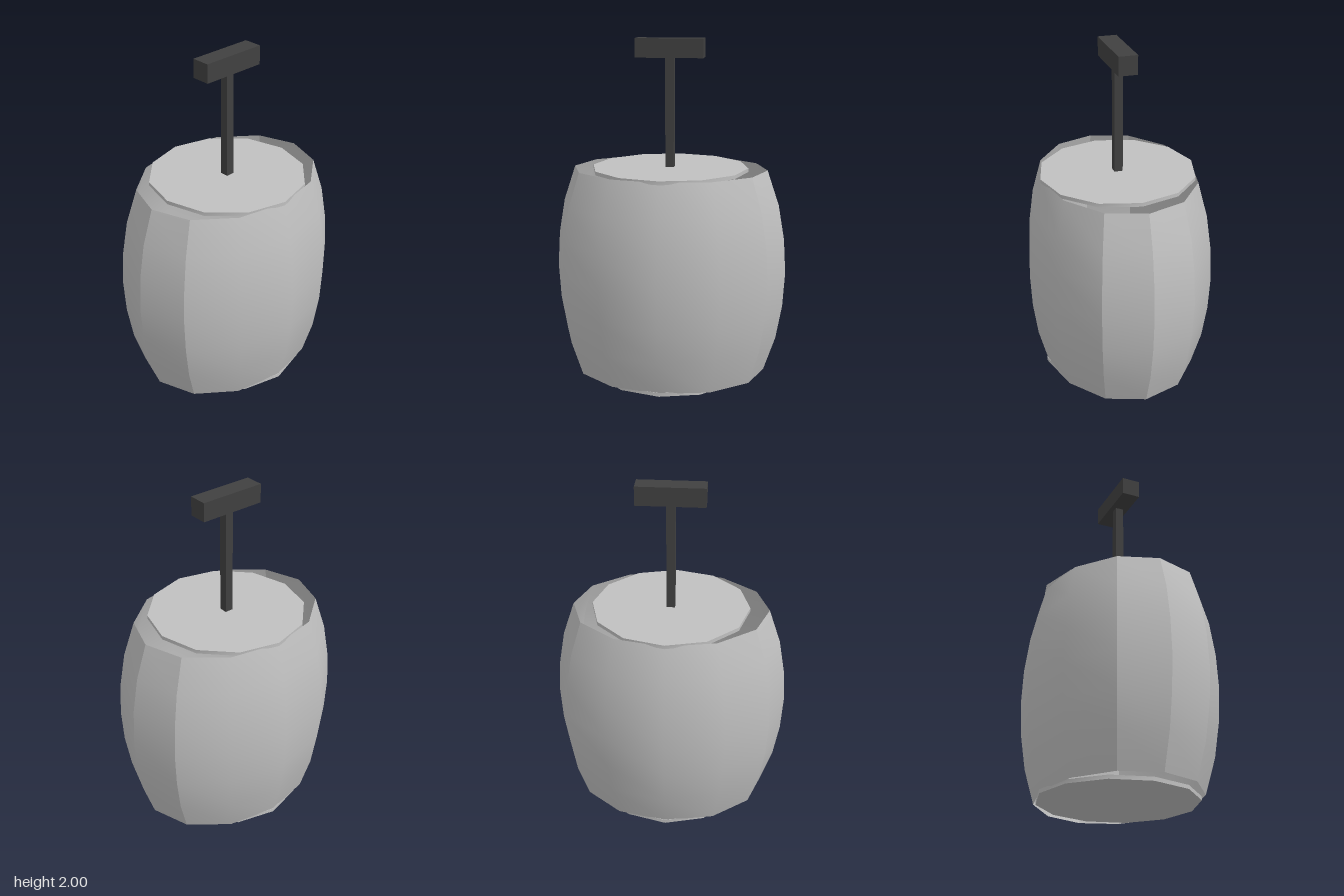
import * as THREE from 'three';
import { toCreasedNormals } from 'three/addons/utils/BufferGeometryUtils.js';

export function createModel() {
  const group = new THREE.Group();
  const grey = new THREE.MeshStandardMaterial({ color: 0xc0c0c0, side: THREE.DoubleSide });
  grey.name = 'light grey';
  const dark = new THREE.MeshStandardMaterial({ color: 0x404040 });
  dark.name = 'dark grey';

  const add = (name, geometry, material, y) => {
    const mesh = new THREE.Mesh(geometry, material);
    mesh.name = name;
    mesh.position.y = y;
    group.add(mesh);
  };

  // Open, bulging twelve-sided shell, stretched front to back
  const halfHeight = 0.615;
  const radii = [0.83, 0.93, 0.982, 1, 0.982, 0.93, 0.83];
  const profile = radii.map((r, i) => new THREE.Vector2(r, (i / 3 - 1) * halfHeight));
  const shell = new THREE.LatheGeometry(profile, 12);
  shell.scale(0.547, 1, 0.69);
  add('barrelShell', toCreasedNormals(shell, Math.PI / 6), grey, 0.63);

  // Round end caps, narrower than the shell's openings
  for (const [name, y] of [['bottomCap', 0.011], ['topCap', 1.244]]) {
    const cap = new THREE.CylinderGeometry(0.46, 0.46, 0.022, 12);
    add(name, toCreasedNormals(cap, Math.PI / 4), grey, y);
  }

  // Plunger rod and crossbar handle
  add('rod', new THREE.BoxGeometry(0.05, 0.66, 0.05), dark, 1.57);
  add('handle', new THREE.BoxGeometry(0.11, 0.11, 0.394), dark, 1.945);

  return group;
}
